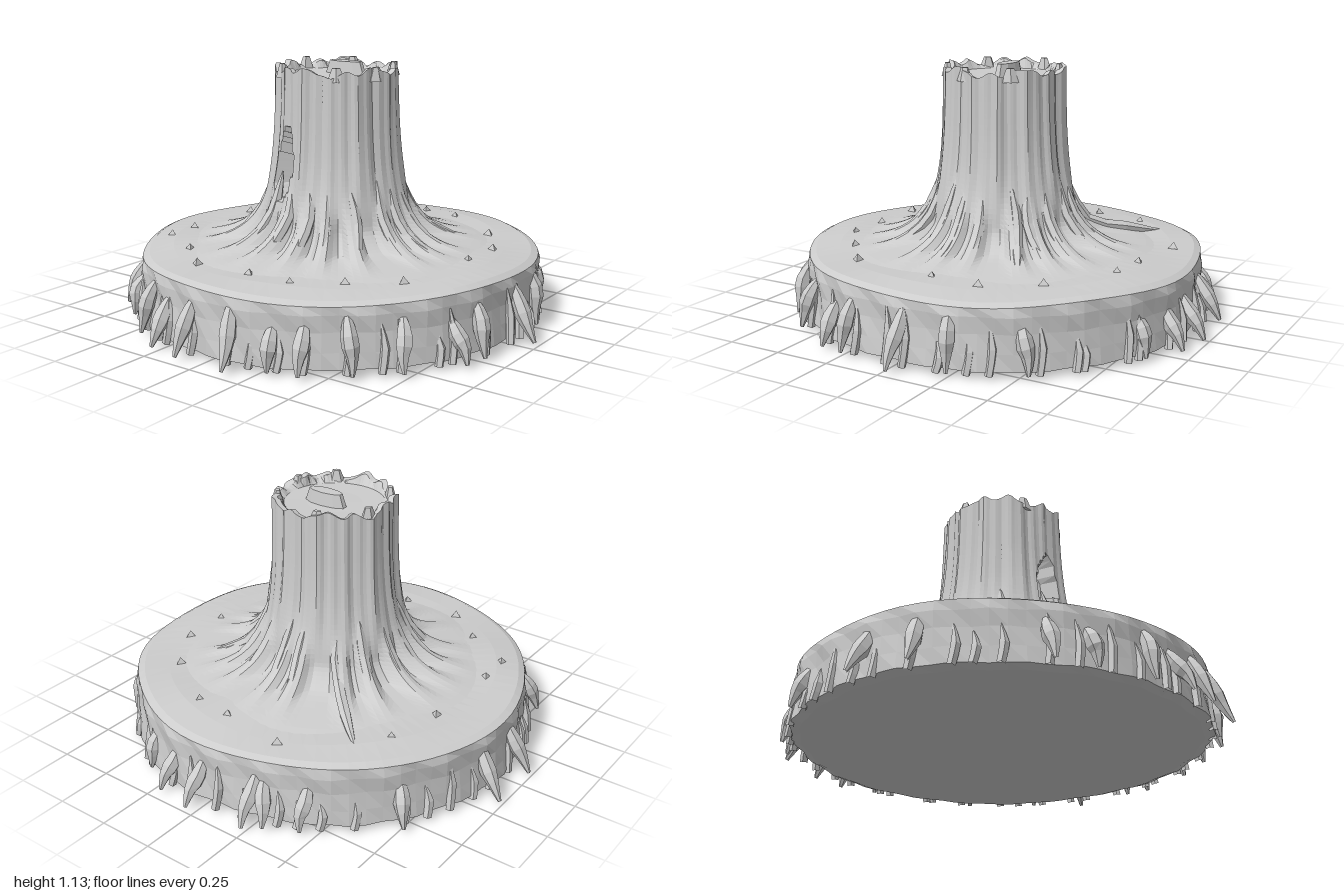
import * as THREE from 'three';

const { sin, cos, atan2, hypot, max, abs, PI } = Math;
const smooth = THREE.MathUtils.smoothstep;
const lerp = THREE.MathUtils.lerp;

// Root tips spreading over the disc top, as [x, z]
const ROOTS = [[-0.47, -0.54], [-0.1, -0.49], [0.02, -0.47], [0.2, -0.45], [0.32, -0.4], [0.45, -0.33],
  [0.5, -0.1], [0.54, 0.03], [0.47, 0.15], [0.37, 0.36], [0.22, 0.43], [0.08, 0.44], [-0.06, 0.43],
  [-0.2, 0.41], [-0.36, 0.3], [-0.47, 0.2], [-0.48, 0.06], [-0.48, -0.08], [-0.4, -0.25]];

// Tips of the torn roots around the disc edge, as [x, z]
const SPURS = [[-0.31, -0.92], [-0.24, -0.97], [0.04, -1], [0.21, -0.97], [0.36, -0.87], [-0.45, -0.85],
  [-0.78, -0.58], [-1, -0.18], [-1, 0.08], [-0.78, 0.58], [-0.63, 0.69], [-0.43, 0.85], [-0.27, 0.95],
  [-0.11, 0.98], [0.15, 0.99], [0.3, 0.89], [0.43, 0.86], [0.6, 0.73], [0.75, 0.59], [0.9, 0.36],
  [0.92, 0.25], [1, -0.03], [0.9, -0.25], [0.77, -0.55]];

// Small chips on the disc top, as [x, z]
const CHIPS = [[-0.25, -0.73], [0.05, -0.69], [0.23, -0.67], [0.52, -0.48], [0.66, -0.26], [0.66, -0.04],
  [0.6, 0.38], [0.42, 0.53], [0.24, 0.66], [0.03, 0.66], [-0.25, 0.67], [-0.43, 0.52], [-0.66, 0.39],
  [-0.67, 0.23], [-0.66, -0.17], [-0.6, -0.42]];

function makeRandom(seed) {
  return () => (seed = (seed * 16807) % 2147483647) / 2147483647;
}

// Faceted version of a geometry
function facet(geometry) {
  const flat = geometry.index ? geometry.toNonIndexed() : geometry;
  flat.computeVertexNormals();
  return flat;
}

// Lathe whose vertices are moved by rule(angle, radius, y) -> [radius, y]
function roughLathe(profile, sides, rule) {
  const g = new THREE.LatheGeometry(profile.map(([r, y]) => new THREE.Vector2(r, y)), sides);
  const p = g.attributes.position;
  for (let i = 0; i < p.count; i++) {
    const a = atan2(p.getX(i), p.getZ(i));
    const [r, y] = rule(a, hypot(p.getX(i), p.getZ(i)), p.getY(i));
    p.setXYZ(i, r * sin(a), y, r * cos(a));
  }
  return facet(g);
}

// Tapering tube along points, with one radius per point
function taperTube(points, radii, sides = 6, steps = 7) {
  const curve = new THREE.CatmullRomCurve3(points.map((p) => new THREE.Vector3(...p)));
  const g = new THREE.TubeGeometry(curve, steps, 1, sides, false);
  const p = g.attributes.position;
  const v = new THREE.Vector3();
  for (let i = 0; i <= steps; i++) {
    const centre = curve.getPointAt(i / steps);
    const f = (i / steps) * (radii.length - 1);
    const k = Math.min(Math.floor(f), radii.length - 2);
    const r = lerp(radii[k], radii[k + 1], f - k);
    for (let j = 0; j <= sides; j++) {
      const n = i * (sides + 1) + j;
      v.fromBufferAttribute(p, n).sub(centre).multiplyScalar(r).add(centre);
      p.setXYZ(n, v.x, max(v.y, 0.012), v.z);
    }
  }
  return facet(g);
}

const rootAngles = ROOTS.map(([x, z]) => atan2(x, z));

// 0 on a root crest, 1 in the channel between two roots
function channel(a) {
  const gap = rootAngles.reduce((m, b) => Math.min(m, abs(atan2(sin(a - b), cos(a - b)))), 9);
  return smooth(gap, 0.03, 0.15);
}

export function createModel() {
  const model = new THREE.Group();
  const wood = new THREE.MeshStandardMaterial({ color: 0xcccccc });
  wood.name = 'pale grey wood';
  const random = makeRandom(77);
  const add = (name, geometry, parent = model) => {
    const mesh = new THREE.Mesh(geometry, wood);
    mesh.name = name;
    parent.add(mesh);
    return mesh;
  };
  const addGroup = (name) => {
    const group = new THREE.Group();
    group.name = name;
    model.add(group);
    return group;
  };

  // Round base disc with an uneven edge
  const disc = [[0, 0.002], [0.5, 0.008], [0.86, 0.016], [0.9, 0.03], [0.895, 0.1], [0.89, 0.18], [0.895, 0.25],
    [0.89, 0.29], [0.86, 0.305], [0.75, 0.315], [0.6, 0.318], [0.4, 0.32], [0, 0.32]];
  add('baseDisc', roughLathe(disc, 80, (a, r, y) => {
    const wall = smooth(r, 0.8, 0.88);
    const wobble = 0.008 * sin(3 * a + 1) + 0.006 * sin(7 * a) + 0.008 * sin(23 * a + y * 14) * (y < 0.27 ? 1 : 0);
    const bump = y > 0.28 ? 0.006 * sin(5 * a + r * 9) * smooth(r, 0.3, 0.6) : 0;
    return [r + wall * wobble, y + bump];
  })).position.z = -0.01;

  // Trunk: flared foot, fluted shaft, broken rim and knot hole
  const side = new THREE.SplineCurve([[0.72, 0.305], [0.6, 0.33], [0.5, 0.36], [0.42, 0.405], [0.36, 0.47],
    [0.315, 0.56], [0.288, 0.68], [0.274, 0.82], [0.268, 0.96], [0.265, 1.105]].map((p) => new THREE.Vector2(...p)));
  const trunk = side.getSpacedPoints(44).map((p) => [p.x, p.y]);
  trunk.push([0.24, 1.1], [0.22, 1.075], [0.12, 1.072], [0, 1.075]);
  add('trunk', roughLathe(trunk, 120, (a, r, y) => {
    if (r < 0.235) return [r, y];
    const foot = smooth(r, 0.28, 0.4) * (1 - smooth(r, 0.5, 0.66));
    let radius = r - (r - 0.24) * 0.38 * foot * channel(a);
    const shaft = smooth(y, 0.4, 0.7);
    radius += shaft * (0.007 * sin(7 * a + y * 2) + 0.006 * sin(13 * a + 1) + 0.004 * sin(29 * a));
    const rim = smooth(y, 1.04, 1.1);
    const height = y + rim * (0.012 * sin(5 * a + 2) + 0.01 * sin(11 * a) + 0.006 * sin(17 * a + 1));
    const dx = (r * sin(a) + 0.095 - (y - 0.7) * 0.12) / (0.052 - (y - 0.7) * 0.08);
    const dy = (y - 0.7) / 0.155;
    if (cos(a) > 0 && dx * dx + dy * dy < 1) radius -= 0.08;
    return [radius, height];
  }));

  // Oblong lump on the cut top
  const lump = new THREE.CylinderGeometry(0.085, 0.11, 0.07, 10);
  lump.scale(1, 1, 0.38);
  add('topLump', facet(lump)).position.set(0.02, 1.095, -0.035);

  // Splinters standing on the rim
  const splinters = addGroup('rimSplinters');
  [-2.8, -1.9, -0.75, 0.6, 1.35, 2.2].forEach((a, i) => {
    const s = add('splinter', facet(new THREE.CylinderGeometry(0.012, 0.028, 0.06, 5)), splinters);
    s.position.set(0.247 * sin(a), 1.095 + 0.003 * (i % 2), 0.247 * cos(a));
    s.rotation.y = a;
    s.scale.x = 1.5;
  });

  // Roots running down the trunk foot onto the disc
  const roots = addGroup('spreadingRoots');
  ROOTS.forEach(([x, z]) => {
    const a = atan2(x, z), tip = hypot(x, z);
    const bend = (random() - 0.5) * 0.14;
    const at = (r, y, turn) => [r * sin(a + turn), y, r * cos(a + turn)];
    add('root', taperTube([at(0.27, 0.66, -bend * 0.5), at(0.325, 0.49, bend), at(0.4, 0.39, bend * 0.5),
      at(lerp(0.4, tip, 0.6), 0.345, 0), at(tip + 0.05, 0.31, -bend * 0.4)],
    [0.004, 0.024, 0.026, 0.026, 0.006]), roots);
  });

  // Torn roots leaning out from the disc edge
  const spurs = addGroup('edgeSpurs');
  SPURS.forEach(([x, z]) => {
    const a = atan2(x, z), tip = hypot(x, z) - 0.01;
    const lean = (random() - 0.5) * 0.06, top = 0.19 + random() * 0.08;
    const at = (r, y, turn) => [r * sin(a + turn), y, r * cos(a + turn)];
    add('spur', taperTube([at(0.87, top, lean), at(0.91, top * 0.68, lean * 0.6),
      at(lerp(0.9, tip, 0.6), 0.09, 0), at(tip, 0.02, 0)], [0.015, 0.034, 0.036, 0.022, 0.008], 6, 6), spurs);
  });

  // Short ridges hugging the edge between the spurs
  const ridges = addGroup('edgeRidges');
  for (let i = 0; i < 44; i++) {
    const a = (i + random() * 0.8) / 44 * 2 * PI, top = 0.13 + random() * 0.13;
    const at = (r, y, turn) => [r * sin(a + turn), y, r * cos(a + turn) - 0.01];
    add('ridge', taperTube([at(0.885, top, 0), at(0.898, top * 0.55, 0.015), at(0.91, 0.015, 0)],
      [0.004, 0.02, 0.018], 5, 4), ridges);
  }

  // Small chips scattered on the disc top
  const chips = addGroup('discChips');
  CHIPS.forEach(([x, z]) => {
    const c = add('chip', facet(new THREE.ConeGeometry(0.026, 0.03, 3)), chips);
    c.position.set(x, 0.327, z);
    c.rotation.y = random() * 6;
  });
  return model;
}
